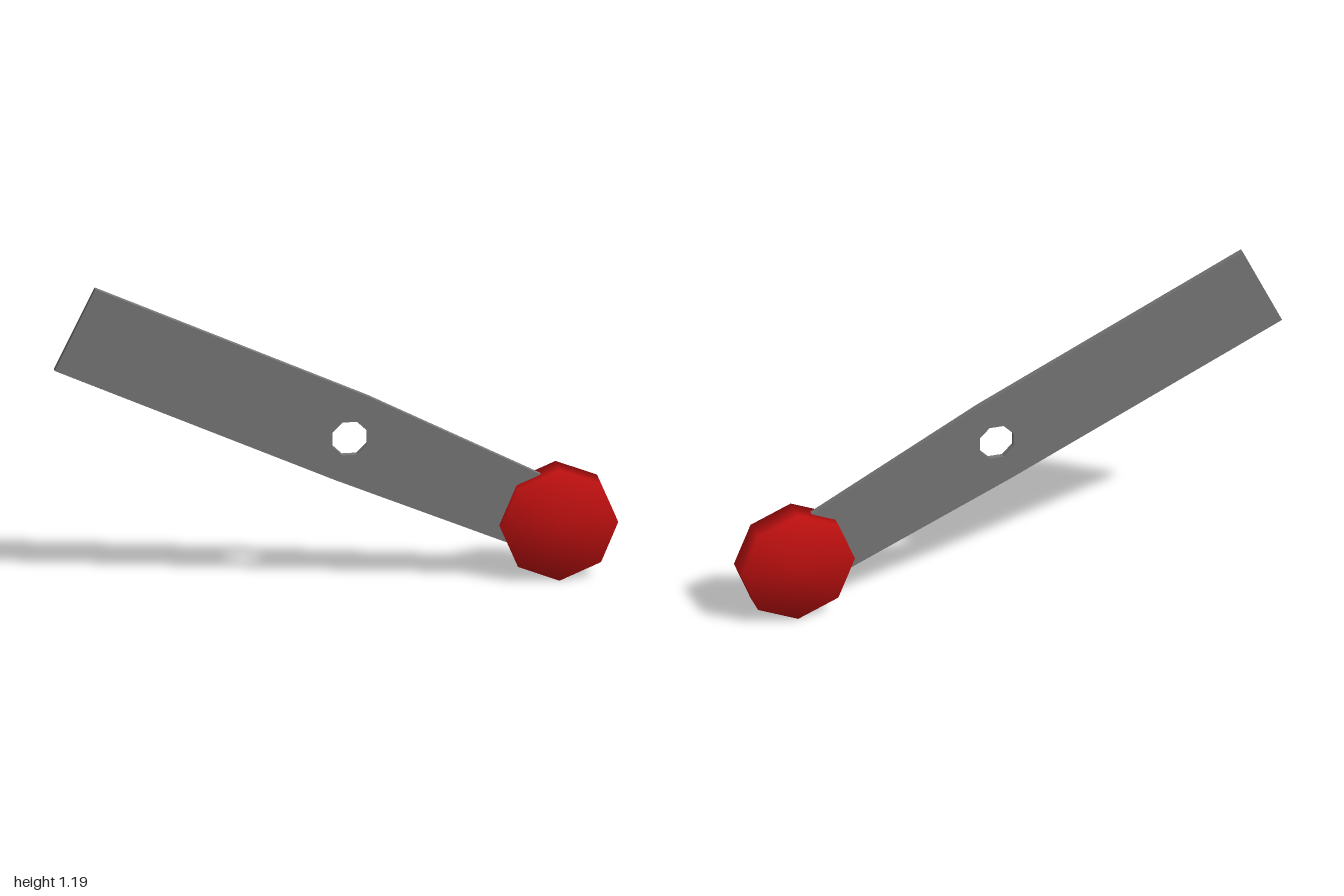
import * as THREE from 'three';
import { mergeVertices } from 'three/addons/utils/BufferGeometryUtils.js';

const DEPTH = 0.02;

// Flat bar that bends and tapers slightly, with an octagonal hole
function createBar(material) {
  const shape = new THREE.Shape([
    [-1, 0.89], [0, 0.415], [0.66, 0.12], [0.78, 0.365], [0.115, 0.725], [-0.855, 1.19],
  ].map(([x, y]) => new THREE.Vector2(x, y)));

  const hole = [];
  for (let i = 0; i < 8; i++) {
    const a = -(i + 0.5) * Math.PI / 4;
    hole.push(new THREE.Vector2(0.05 + 0.067 * Math.cos(a), 0.57 + 0.067 * Math.sin(a)));
  }
  shape.holes.push(new THREE.Path(hole));

  const geometry = new THREE.ExtrudeGeometry(shape, { depth: DEPTH, bevelEnabled: false });
  geometry.translate(0, 0, -DEPTH / 2);

  // The bar leans very slightly back toward its raised end
  const p = geometry.attributes.position;
  for (let i = 0; i < p.count; i++) p.setZ(i, p.getZ(i) + 0.0025 * p.getX(i));
  geometry.computeVertexNormals();

  const bar = new THREE.Mesh(geometry, material);
  bar.name = 'bar';
  return bar;
}

// Thick octagonal knob, shaded smoothly across rim and faces
function createKnob(material) {
  let geometry = new THREE.CylinderGeometry(0.209, 0.209, 0.09, 8);
  geometry.rotateX(Math.PI / 2);
  geometry.deleteAttribute('normal');
  geometry.deleteAttribute('uv');
  geometry = mergeVertices(geometry, 1e-4);
  geometry.computeVertexNormals();

  const knob = new THREE.Mesh(geometry, material);
  knob.name = 'knob';
  knob.position.set(0.791, 0.209, 0);
  return knob;
}

export function createModel() {
  const grey = new THREE.MeshStandardMaterial({ color: 0x777777 });
  grey.name = 'grey metal';
  const red = new THREE.MeshStandardMaterial({ color: 0xc01010 });
  red.name = 'red';

  const model = new THREE.Group();
  model.name = 'barWithKnob';
  model.add(createBar(grey), createKnob(red));
  return model;
}
